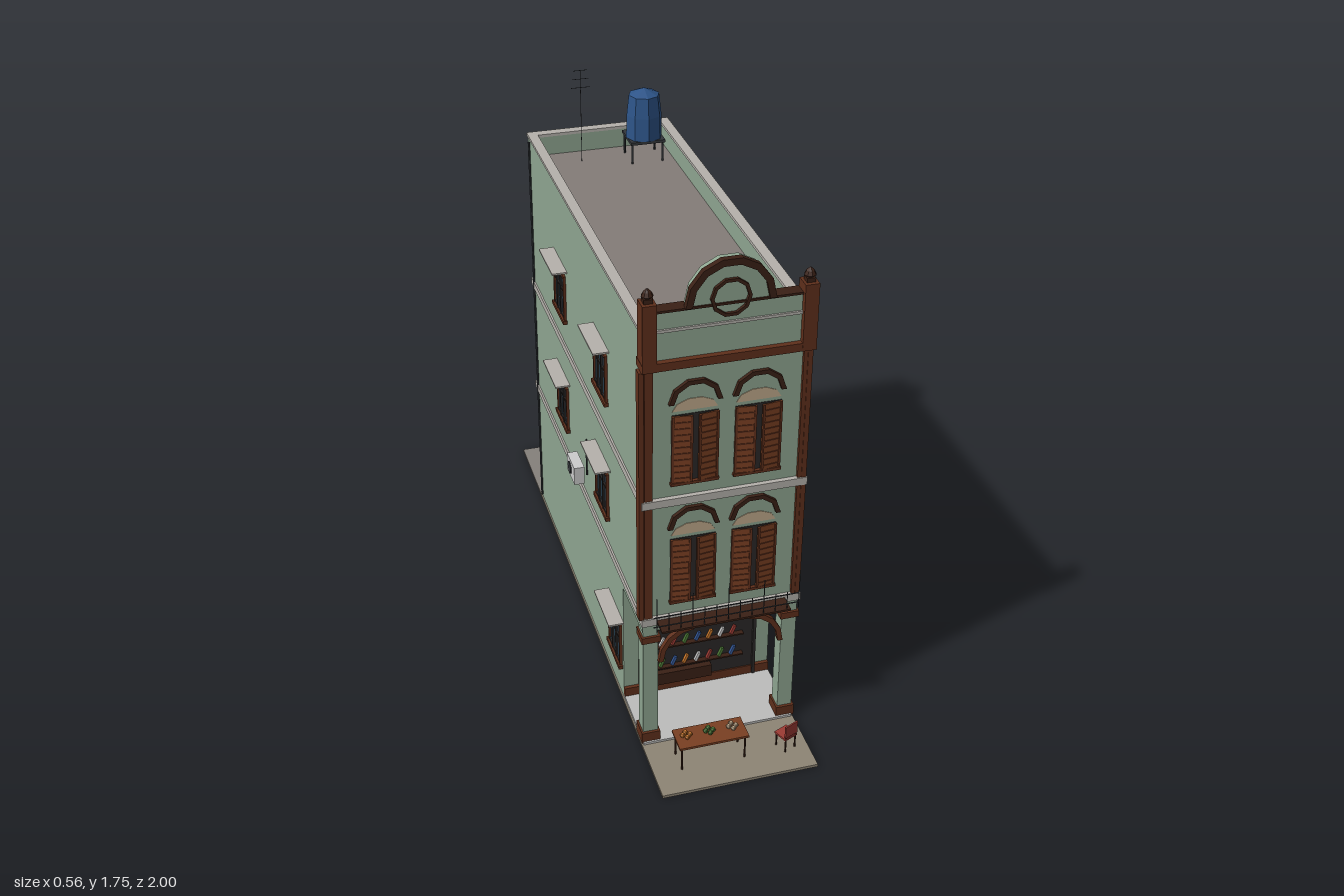
import * as THREE from 'three';

const mat = (color) => new THREE.MeshStandardMaterial({ color, flatShading: true, side: THREE.DoubleSide });
const M = {
  wall: mat(0x8fa691), trim: mat(0xb5b1ab), wood: mat(0x5f2f1b), dark: mat(0x3a2015), shutter: mat(0x7a3f22),
  cream: mat(0xbfa98a), roof: mat(0x837c78), pave: mat(0x8d8474), black: mat(0x2b2827), metal: mat(0x33363a),
  glass: mat(0x2f4a5c), tank: mat(0x2d5488), red: mat(0x9c3b34), white: mat(0xd8d8d4), blue: mat(0x35599a),
  pink: mat(0xb56a80), orange: mat(0xc9772a), green: mat(0x4c7a36), floor: mat(0xbdbdbb), yard: mat(0x85807b),
};
const CX = 0.02; // building centre line

export function createModel() {
  const root = new THREE.Group();
  const add = (name, geo, m, parent = root) => {
    const mesh = new THREE.Mesh(geo, m);
    mesh.name = name;
    parent.add(mesh);
    return mesh;
  };
  // box given by its minimum and maximum on each axis
  const box = (name, m, x0, x1, y0, y1, z0, z1, parent) => {
    const b = add(name, new THREE.BoxGeometry(x1 - x0, y1 - y0, z1 - z0), m, parent);
    b.position.set((x0 + x1) / 2, (y0 + y1) / 2, (z0 + z1) / 2);
    return b;
  };
  const rod = (name, m, a, b, r = 0.0015) => {
    const A = new THREE.Vector3(...a), B = new THREE.Vector3(...b), d = B.clone().sub(A);
    const c = add(name, new THREE.CylinderGeometry(r, r, d.length(), 6), m);
    c.position.copy(A).add(B).multiplyScalar(0.5);
    c.quaternion.setFromUnitVectors(new THREE.Vector3(0, 1, 0), d.normalize());
    return c;
  };
  // faceted arch band (inner radius 0 gives a filled segment)
  const arch = (name, m, x, y, z, rOut, rIn, a0, a1, seg, depth, sy = 1) => {
    const pts = [];
    const pt = (r, i) => {
      const a = a0 + (a1 - a0) * i / seg;
      return new THREE.Vector2(Math.cos(a) * r, Math.sin(a) * r * sy);
    };
    for (let i = 0; i <= seg; i++) pts.push(pt(rOut, i));
    if (rIn > 0) for (let i = seg; i >= 0; i--) pts.push(pt(rIn, i));
    const g = new THREE.ExtrudeGeometry(new THREE.Shape(pts), { depth, bevelEnabled: false });
    add(name, g, m).position.set(x, y, z);
  };

  // ground, pavement and porch floor
  box('backYard', M.yard, -0.235, 0.27, 0, 0.01, -1, -0.69);
  box('groundSlab', M.pave, -0.235, 0.27, 0, 0.008, -0.69, 0.77);
  box('pavement', M.pave, -0.235, 0.27, 0, 0.01, 0.77, 1);
  box('porchFloor', M.floor, -0.23, 0.265, 0.008, 0.018, 0.53, 0.77);

  // main volumes, roof and parapet
  box('groundFloor', M.wall, -0.23, 0.265, 0.008, 0.455, -0.69, 0.53);
  box('upperFloors', M.wall, -0.23, 0.265, 0.455, 1.42, -0.69, 0.757);
  box('roof', M.roof, -0.205, 0.24, 1.42, 1.425, -0.665, 0.71);
  for (const [x0, x1] of [[-0.23, -0.205], [0.24, 0.265]]) {
    box('sideParapet', M.wall, x0, x1, 1.42, 1.492, -0.69, 0.72);
    box('sideCoping', M.trim, x0 - 0.004, x1 + 0.004, 1.492, 1.502, -0.695, 0.72);
  }
  box('backParapet', M.wall, -0.205, 0.24, 1.42, 1.492, -0.69, -0.665);
  box('backCoping', M.trim, -0.205, 0.24, 1.492, 1.502, -0.695, -0.661);
  for (const y of [0.487, 0.918]) box('floorBand', M.trim, -0.236, 0.272, y, y + 0.026, -0.695, 0.772);
  box('backPlinth', M.wood, -0.23, 0.265, 0.01, 0.055, -0.696, -0.69);

  // front parapet with cornice, piers, finials and arched gable
  box('frontParapet', M.wall, -0.2, 0.24, 1.4, 1.557, 0.725, 0.757);
  box('parapetCap', M.dark, -0.2, 0.24, 1.555, 1.562, 0.72, 0.762);
  box('parapetLine', M.trim, -0.2, 0.24, 1.494, 1.503, 0.72, 0.763);
  box('cornice', M.wood, -0.236, 0.276, 1.38, 1.406, 0.715, 0.775);
  box('parapetBackRail', M.dark, -0.2, 0.24, 1.425, 1.44, 0.712, 0.725);
  for (const s of [-1, 1]) {
    const x = CX + s * 0.234;
    box('parapetPier', M.wood, x - 0.021, x + 0.021, 1.38, 1.59, 0.724, 0.776);
    box('finialBase', M.dark, x - 0.013, x + 0.013, 1.59, 1.603, 0.737, 0.763);
    const f = add('finial', new THREE.LatheGeometry([[0.006, 0], [0.018, 0.01], [0.012, 0.022], [0, 0.034]]
      .map((p) => new THREE.Vector2(...p)), 8), M.dark);
    f.position.set(x, 1.6, 0.75);
    box('frontPilaster', M.wood, x + s * 0.015 - 0.015, x + s * 0.015 + 0.0, 0.513, 1.38, 0.74, 0.769);
    box('pilasterFace', M.wood, x - 0.012, x + 0.012, 0.513, 1.38, 0.755, 0.767);
    // porch columns
    const c = CX + s * 0.224;
    box('porchColumn', M.wall, c - 0.024, c + 0.024, 0.018, 0.487, 0.705, 0.755);
    box('columnBase', M.wood, c - 0.03, c + 0.03, 0.012, 0.052, 0.697, 0.764);
    box('columnCapital', M.wood, c - 0.03, c + 0.03, 0.413, 0.436, 0.699, 0.763);
    // curved porch bracket
    const a = s < 0 ? Math.PI : 0;
    arch('porchBracket', M.wood, CX + s * 0.09, 0.335, 0.752, 0.112, 0.096, a, Math.PI / 2, 4, 0.016, 1.12);
  }
  arch('gablePanel', M.wall, 0.022, 1.56, 0.725, 0.125, 0, 0, Math.PI, 7, 0.032, 1.08);
  arch('gableArch', M.dark, 0.022, 1.56, 0.748, 0.132, 0.112, 0, Math.PI, 7, 0.02, 1.06);
  arch('gableRing', M.dark, 0.022, 1.578, 0.757, 0.06, 0.05, 0, Math.PI * 2, 10, 0.01);

  // shuttered front windows with arched heads
  for (const y of [0.56, 0.99]) for (const x of [-0.075, 0.115]) {
    box('windowRecess', M.black, x - 0.07, x + 0.07, y, y + 0.23, 0.757, 0.759);
    box('windowSill', M.wood, x - 0.073, x + 0.073, y - 0.005, y + 0.005, 0.757, 0.77);
    for (const s of [-1, 1]) {
      const leaf = new THREE.Group();
      leaf.name = 'shutterLeaf';
      leaf.position.set(x + s * 0.07, y + 0.005, 0.76);
      leaf.rotation.y = s * 0.12;
      root.add(leaf);
      const at = (u0, u1) => [Math.min(-s * u0, -s * u1), Math.max(-s * u0, -s * u1)];
      box('shutterPanel', M.shutter, ...at(0, 0.062), 0, 0.224, 0, 0.004, leaf);
      for (const u of [0, 0.055]) box('shutterStile', M.wood, ...at(u, u + 0.007), 0, 0.224, 0.004, 0.007, leaf);
      for (let i = 0; i < 10; i++)
        box('louvre', M.wood, ...at(0.007, 0.055), 0.012 + i * 0.021, 0.016 + i * 0.021, 0.004, 0.006, leaf);
    }
    arch('fanlight', M.cream, x, y + 0.24, 0.757, 0.068, 0, 0.05, Math.PI - 0.05, 5, 0.002, 0.6);
    arch('archHood', M.dark, x, y + 0.27, 0.755, 0.08, 0.065, 0, Math.PI, 5, 0.014, 0.95);
  }

  // glazed window facing local +z, with optional awning
  const sideWindow = (name, x, y, z, ry, awning) => {
    const g = new THREE.Group();
    g.name = name;
    g.position.set(x, y, z);
    g.rotation.y = ry;
    root.add(g);
    box('glass', M.glass, -0.068, 0.068, 0.005, 0.16, 0, 0.003, g);
    box('sill', M.wood, -0.08, 0.08, -0.008, 0.005, 0, 0.014, g);
    box('head', M.wood, -0.073, 0.073, 0.158, 0.166, 0, 0.008, g);
    for (let i = 0; i < 4; i++) {
      const u = -0.068 + i * 0.0453;
      box('mullion', i % 3 ? M.black : M.wood, u - 0.005, u + 0.005, 0.005, 0.16, 0, 0.009, g);
    }
    for (const v of [0.008, 0.105, 0.152]) box('glazingBar', M.black, -0.068, 0.068, v, v + 0.006, 0, 0.008, g);
    if (awning) box('awning', M.trim, -0.095, 0.095, 0.188, 0.194, 0, 0.05, g);
  };
  for (const y of [0.615, 1.043]) {
    sideWindow('backWindow', CX, y, -0.69, Math.PI, false);
    for (const z of [-0.24, 0.295]) sideWindow('sideWindow', -0.23, y, z, -Math.PI / 2, true);
  }
  sideWindow('groundSideWindow', -0.23, 0.125, 0.44, -Math.PI / 2, true);

  // air conditioner and pipes
  box('airConditioner', M.white, -0.275, -0.24, 0.56, 0.625, -0.02, 0.08);
  const fan = add('airConditionerFan', new THREE.CylinderGeometry(0.022, 0.022, 0.004, 10), M.metal);
  fan.rotation.z = Math.PI / 2;
  fan.position.set(-0.276, 0.592, 0.02);
  rod('airConditionerPipe', M.metal, [-0.234, 0.6, 0.09], [-0.234, 0.74, 0.09], 0.003);
  rod('downpipe', M.metal, [-0.234, 0.02, -0.66], [-0.234, 1.48, -0.66], 0.004);

  // shopfront with shelves of goods
  box('shopBack', M.black, -0.18, 0.215, 0.05, 0.39, 0.53, 0.538);
  box('shopPlinth', M.wood, -0.23, 0.265, 0.018, 0.05, 0.53, 0.542);
  for (const x of [-0.18, 0.205]) box('shopJamb', M.black, x, x + 0.01, 0.02, 0.39, 0.53, 0.548);
  const goods = [M.red, M.orange, M.green, M.white, M.blue];
  [0.12, 0.205, 0.285].forEach((y, r) => {
    box('shelf', M.dark, -0.17, 0.17, y - 0.005, y, 0.538, 0.555);
    for (let i = 0; i < 8; i++) {
      const b = box('goods', goods[(i * 2 + r) % 5], -0.15 + i * 0.04, -0.141 + i * 0.04, y, y + 0.033, 0.541, 0.551);
      b.rotation.z = -0.4;
    }
  });
  box('counter', M.dark, -0.17, 0.06, 0.055, 0.1, 0.54, 0.56);

  // fascia and balcony ledge with railing
  box('fascia', M.trim, -0.17, 0.21, 0.462, 0.495, 0.757, 0.775);
  box('balconyLedge', M.dark, -0.19, 0.22, 0.499, 0.506, 0.76, 0.83);
  for (const y of [0.525, 0.56]) rod('railingBar', M.metal, [-0.215, y, 0.825], [0.245, y, 0.825], 0.002);
  for (let i = 0; i <= 12; i++) {
    const x = -0.205 + i * 0.0375;
    rod('railingPost', M.metal, [x, 0.503, 0.825], [x, i % 3 ? 0.57 : 0.63, 0.825]);
  }

  // rooftop water tank on a stand, and antenna
  box('tankPlatform', M.metal, 0.085, 0.205, 1.495, 1.505, -0.62, -0.5);
  for (const x of [0.092, 0.198]) for (const z of [-0.61, -0.51])
    rod('tankLeg', M.metal, [x, 1.425, z], [x, 1.495, z], 0.004);
  const tank = add('waterTank', new THREE.LatheGeometry([[0, 0], [0.063, 0], [0.061, 0.08], [0.053, 0.15], [0, 0.172]]
    .map((p) => new THREE.Vector2(...p)), 8), M.tank);
  tank.position.set(0.145, 1.505, -0.555);
  rod('antennaMast', M.metal, [-0.068, 1.425, -0.58], [-0.068, 1.75, -0.58], 0.001);
  for (const [i, y] of [1.69, 1.72, 1.75].entries())
    rod('antennaBar', M.metal, [-0.1 + i * 0.004, y, -0.58], [-0.036 - i * 0.004, y, -0.58], 0.001);

  // clothesline in the back yard
  for (const x of [-0.17, 0.22]) rod('clothesPole', M.metal, [x, 0.01, -0.905], [x, 0.225, -0.905], 0.002);
  rod('clothesLine', M.metal, [-0.17, 0.215, -0.905], [0.22, 0.215, -0.905], 0.001);
  [[0.135, 0.06, M.white], [-0.02, 0.055, M.pink], [-0.1, 0.075, M.blue]].forEach(([x, h, m]) =>
    box('laundry', m, x - 0.022, x + 0.022, 0.215 - h, 0.215, -0.907, -0.903));

  // pavement table with produce
  box('tableTop', M.shutter, -0.155, 0.07, 0.096, 0.104, 0.825, 0.915);
  for (const x of [-0.145, 0.06]) for (const z of [0.835, 0.905]) rod('tableLeg', M.dark, [x, 0.01, z], [x, 0.097, z], 0.003);
  [M.orange, M.green, M.cream].forEach((m, i) => {
    for (let k = 0; k < 4; k++) {
      const a = k * Math.PI / 2;
      add('produce', new THREE.IcosahedronGeometry(0.009, 0), m)
        .position.set(-0.12 + i * 0.075 + Math.cos(a) * 0.012, 0.112, 0.865 + Math.sin(a) * 0.012);
    }
  });

  // red chair, turned slightly
  const chair = new THREE.Group();
  chair.name = 'chair';
  chair.position.set(0.2, 0.01, 0.892);
  chair.rotation.y = 0.4;
  root.add(chair);
  box('chairSeat', M.red, -0.025, 0.025, 0.048, 0.055, -0.025, 0.025, chair);
  box('chairBack', M.red, -0.025, 0.025, 0.06, 0.105, 0.021, 0.026, chair);
  for (const x of [-0.022, 0.018]) for (const z of [-0.022, 0.02])
    box('chairLeg', M.dark, x, x + 0.004, 0, z > 0 ? 0.1 : 0.048, z, z + 0.004, chair);

  return root;
}
